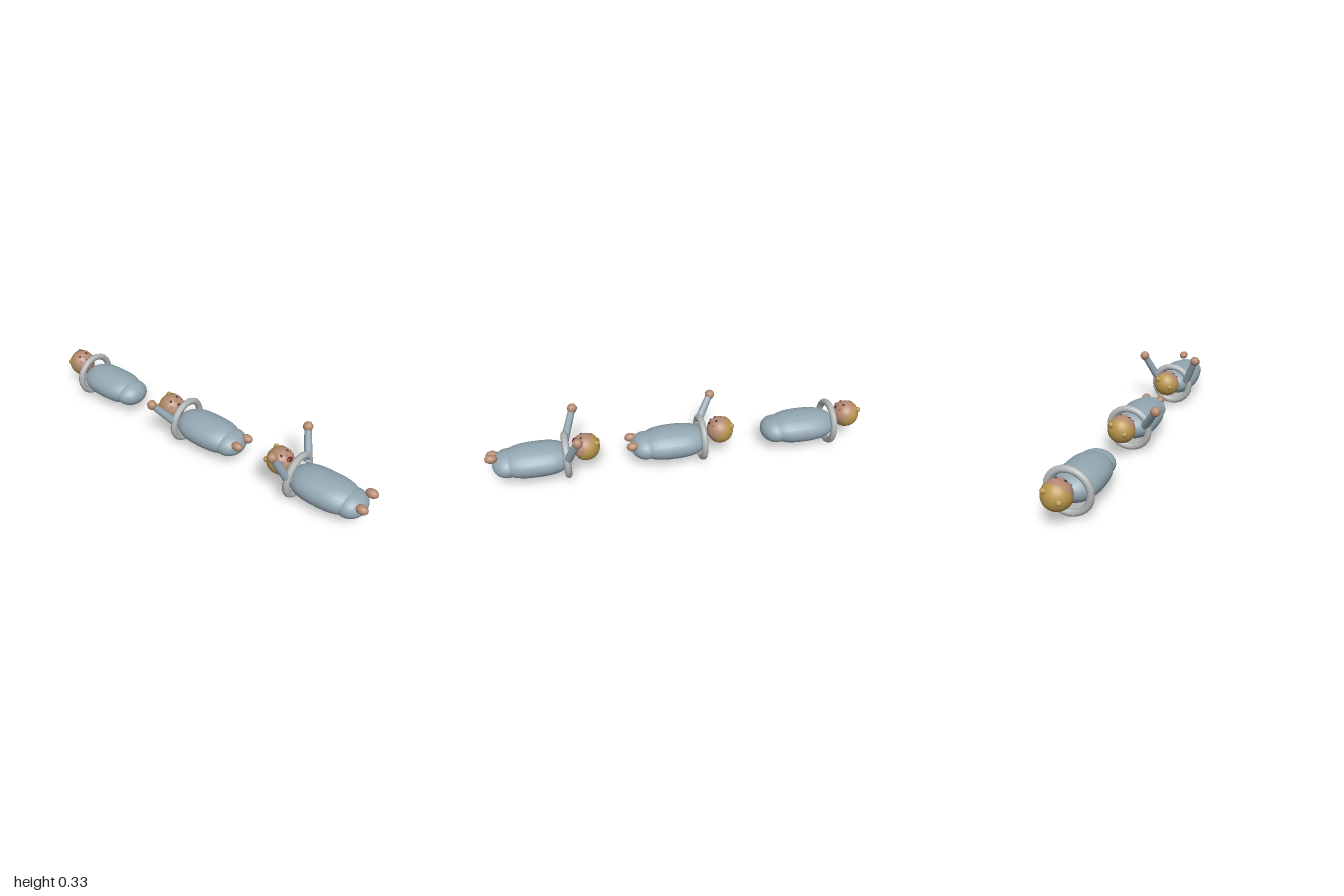
import * as THREE from 'three';

const mat = (color, side = THREE.FrontSide) => new THREE.MeshStandardMaterial({ color, side });
const cloth = mat(0x93a7b2, THREE.DoubleSide), skin = mat(0xb48a70), hair = mat(0xb8964c, THREE.DoubleSide);
const collar = mat(0xb4b8b9), eyeMat = mat(0x3a2a35), cheekMat = mat(0xa8707a), mouthMat = mat(0x6a1a1c);

function add(parent, name, geometry, material, pos = [0, 0, 0], scale = [1, 1, 1]) {
  const m = new THREE.Mesh(geometry, material);
  m.name = name;
  m.position.set(...pos);
  m.scale.set(...scale);
  parent.add(m);
  return m;
}

const ball = (r, w = 14, h = 10) => new THREE.SphereGeometry(r, w, h);

// Head with face turned upwards, hair cap and two curls
function makeHead(mouthSize) {
  const head = new THREE.Group();
  head.name = 'head';
  add(head, 'skull', ball(0.069, 24, 16), skin);
  const cap = add(head, 'hairCap', new THREE.SphereGeometry(0.072, 24, 14, 0, Math.PI * 2, 0, 1.68), hair);
  cap.quaternion.setFromUnitVectors(new THREE.Vector3(0, 1, 0), new THREE.Vector3(-0.8, -0.58, -0.12).normalize());
  add(head, 'curl', ball(0.015, 10, 8), hair, [-0.053, 0.037, -0.035]);
  add(head, 'curl', ball(0.015, 10, 8), hair, [-0.06, -0.002, 0.038]);

  // Face frame: z looks out of the face, y points to the crown
  const face = new THREE.Group();
  face.name = 'face';
  const z = new THREE.Vector3(0.52, 0.83, 0.15).normalize();
  const x = new THREE.Vector3(-0.85, 0.5, 0).cross(z).normalize();
  const y = z.clone().cross(x);
  face.quaternion.setFromRotationMatrix(new THREE.Matrix4().makeBasis(x, y, z));
  const feature = (name, r, material, px, py, scale) =>
    add(face, name, ball(r, 10, 8), material, [px, py, Math.sqrt(0.069 ** 2 - px * px - py * py)], scale);
  for (const s of [-1, 1]) {
    feature('eye', 0.007, eyeMat, s * 0.023, 0.014, [1, 1, 0.6]);
    feature('cheek', 0.009, cheekMat, s * 0.036, -0.014, [1, 1, 0.4]);
  }
  feature('nose', 0.007, skin, 0, 0);
  feature('mouth', mouthSize, mouthMat, 0, -0.025, [1.2, 0.8, 0.4]);
  head.add(face);
  return head;
}

// Blunt oval of revolution, laid along x
function bodyGeometry(half) {
  const pts = [];
  for (let i = 0; i <= 20; i++) {
    const t = -Math.cos((i / 20) * Math.PI);
    pts.push(new THREE.Vector2(Math.pow(Math.max(0, 1 - Math.abs(t) ** 2.8), 0.46), t * half));
  }
  return new THREE.LatheGeometry(pts, 24).rotateZ(-Math.PI / 2);
}

// Sleeve from shoulder to hand
function addArm(baby, shoulder, hand) {
  const a = new THREE.Vector3(...shoulder), b = new THREE.Vector3(...hand);
  const d = b.clone().sub(a);
  const sleeve = add(baby, 'sleeve', new THREE.CylinderGeometry(0.018, 0.022, d.length(), 12), cloth,
    a.clone().add(b).multiplyScalar(0.5).toArray());
  sleeve.quaternion.setFromUnitVectors(new THREE.Vector3(0, 1, 0), d.normalize());
  add(baby, 'hand', ball(0.026, 10, 8), skin, hand);
}

// Local x = 0 is the plane of the collar ring
function makeBaby({ mouth, hands = [], feet = [] }) {
  const baby = new THREE.Group();
  baby.name = 'swaddledBaby';
  const head = makeHead(mouth);
  head.position.set(-0.103, 0.161, 0);
  baby.add(head);
  add(baby, 'collarRing', new THREE.TorusGeometry(0.105, 0.018, 8, 24).rotateY(Math.PI / 2), collar, [0, 0.124, 0]);
  add(baby, 'wrappedBody', bodyGeometry(0.185), cloth, [0.152, 0.121, 0], [1, 0.08, 0.112]);
  add(baby, 'wrappedLegs', ball(1, 24, 16), cloth, [0.298, 0.118, 0], [0.078, 0.064, 0.093]);
  for (const [hx, hy, hz] of hands) addArm(baby, [0, 0.15, Math.sign(hz) * 0.088], [hx, hy, hz]);
  for (const [fx, fy, fz] of feet) add(baby, 'foot', ball(1, 12, 8), skin, [fx, fy, fz], [0.033, 0.023, 0.024]);
  return baby;
}

export function createModel() {
  const model = new THREE.Group();
  model.name = 'threeSwaddledBabies';
  const babies = [
    { mouth: 0.008 },
    { mouth: 0.01, hands: [[-0.088, 0.272, 0.172]], feet: [[0.37, 0.15, -0.042], [0.37, 0.15, 0.042]] },
    { mouth: 0.016, hands: [[-0.058, 0.3, 0.154], [-0.058, 0.3, -0.154]],
      feet: [[0.37, 0.188, -0.042], [0.37, 0.148, 0.042]] },
  ];
  babies.forEach((spec, i) => {
    const baby = makeBaby(spec);
    baby.position.set(-0.826 + i * 0.71, 0, -0.009);
    model.add(baby);
  });
  return model;
}
